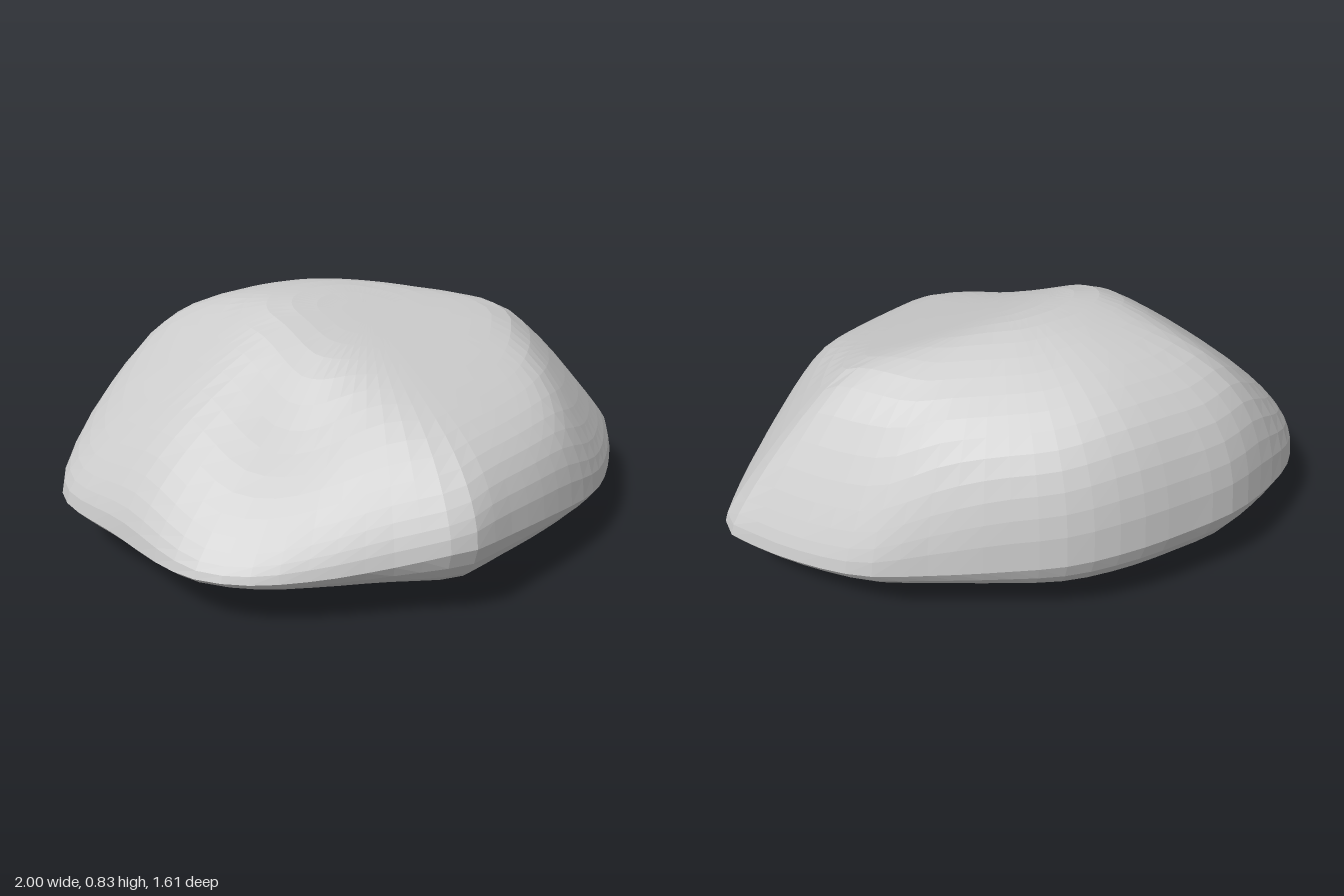
import * as THREE from 'three';

// Widest outline of the boulder, clockwise from above: x, height, z
const RIM = [
  [-1, 0.19, -0.3], [-0.96, 0.19, -0.45], [-0.85, 0.2, -0.6], [-0.72, 0.22, -0.69],
  [-0.55, 0.24, -0.76], [-0.38, 0.26, -0.805], [-0.2, 0.26, -0.8], [0, 0.26, -0.78],
  [0.21, 0.25, -0.72], [0.4, 0.23, -0.6], [0.58, 0.21, -0.47], [0.74, 0.2, -0.35],
  [0.85, 0.19, -0.2], [0.95, 0.19, -0.02], [1, 0.2, 0.11], [0.93, 0.19, 0.23],
  [0.8, 0.18, 0.38], [0.64, 0.18, 0.52], [0.49, 0.2, 0.61], [0.25, 0.23, 0.7],
  [0, 0.25, 0.77], [-0.1, 0.26, 0.8], [-0.17, 0.26, 0.79], [-0.34, 0.22, 0.7],
  [-0.55, 0.19, 0.6], [-0.73, 0.18, 0.5], [-0.85, 0.18, 0.38], [-0.9, 0.18, 0.25],
  [-0.95, 0.19, 0],
].map((p) => new THREE.Vector3(...p));

// Sloping facets of the upper side: height, slope along x, slope along z
const FACETS = [
  [0.75, -0.07, -0.38],  // long front slope
  [0.86, -0.12, 0.13],   // crown, left half
  [0.87, 0.12, 0.13],    // crown, right half
  [1.01, 0.02, 0.5],     // back shoulder
  [1.06, 0.75, 0.03],    // right slope
  [0.97, 0.6, -0.6],     // front slope on the right-hand side
  [0.96, -0.41, 0.41],   // bevel above the back left
  [1.4, -1.15, 0.65],    // back slope on the left-hand side
  [1.21, -0.86, -0.62],  // front slope on the left-hand side
];

const SEGMENTS = 64;

// Blended lower envelope of the facets, with a hollow in the front
function crownHeight(x, z) {
  const k = 0.028;
  let sum = 0;
  for (const [h, sx, sz] of FACETS) sum += Math.exp(-(h + sx * x + sz * z) / k);
  const hollow = 0.05 * Math.exp(-((x + 0.4) ** 2 + (z - 0.26) ** 2) / 0.04);
  return 0.022 - k * Math.log(sum) - hollow;
}

// Rings from the centre (u = 0) to the rim (u = 1)
function makeShell(name, steps, heightAt, facesUp) {
  const rim = new THREE.CatmullRomCurve3(RIM, true, 'centripetal').getSpacedPoints(SEGMENTS);
  const positions = [];
  const indices = [];
  for (const u of steps) {
    for (const p of rim) {
      positions.push(p.x * u, heightAt(p, u), p.z * u);
    }
  }
  const row = SEGMENTS + 1;
  for (let k = 0; k < steps.length - 1; k++) {
    for (let i = 0; i < SEGMENTS; i++) {
      const a = k * row + i, b = a + 1, c = a + row, d = c + 1;
      if (facesUp) {
        indices.push(a, d, c);
        if (k > 0) indices.push(a, b, d);
      } else {
        indices.push(a, c, d);
        if (k > 0) indices.push(a, d, b);
      }
    }
  }
  const geometry = new THREE.BufferGeometry();
  geometry.setAttribute('position', new THREE.Float32BufferAttribute(positions, 3));
  geometry.setIndex(indices);
  geometry.computeVertexNormals();
  const mesh = new THREE.Mesh(
    geometry,
    new THREE.MeshStandardMaterial({ color: 0xcccccc, flatShading: true }),
  );
  mesh.name = name;
  return mesh;
}

export function createModel() {
  const group = new THREE.Group();
  group.name = 'boulder';

  // Faceted crown that rounds over into steep sides
  const topSteps = [0, 0.08, 0.16, 0.24, 0.32, 0.4, 0.48, 0.56, 0.64, 0.72, 0.79, 0.85, 0.9, 0.94, 0.97, 0.99, 1];
  group.add(makeShell('upperRock', topSteps, (p, u) => {
    const wall = Math.sqrt(Math.max(0, 1 - u ** 10));
    return p.y + Math.max(0.06 - p.y * u, crownHeight(p.x * u, p.z * u) - p.y) * wall;
  }, true));

  // Shallow bowl that turns up steeply at the rim
  const baseSteps = [0, 0.15, 0.3, 0.45, 0.6, 0.72, 0.82, 0.89, 0.94, 0.975, 1];
  group.add(makeShell('underside', baseSteps,
    (p, u) => 0.15 * u ** 2 + (p.y - 0.15) * u ** 24, false));

  return group;
}
